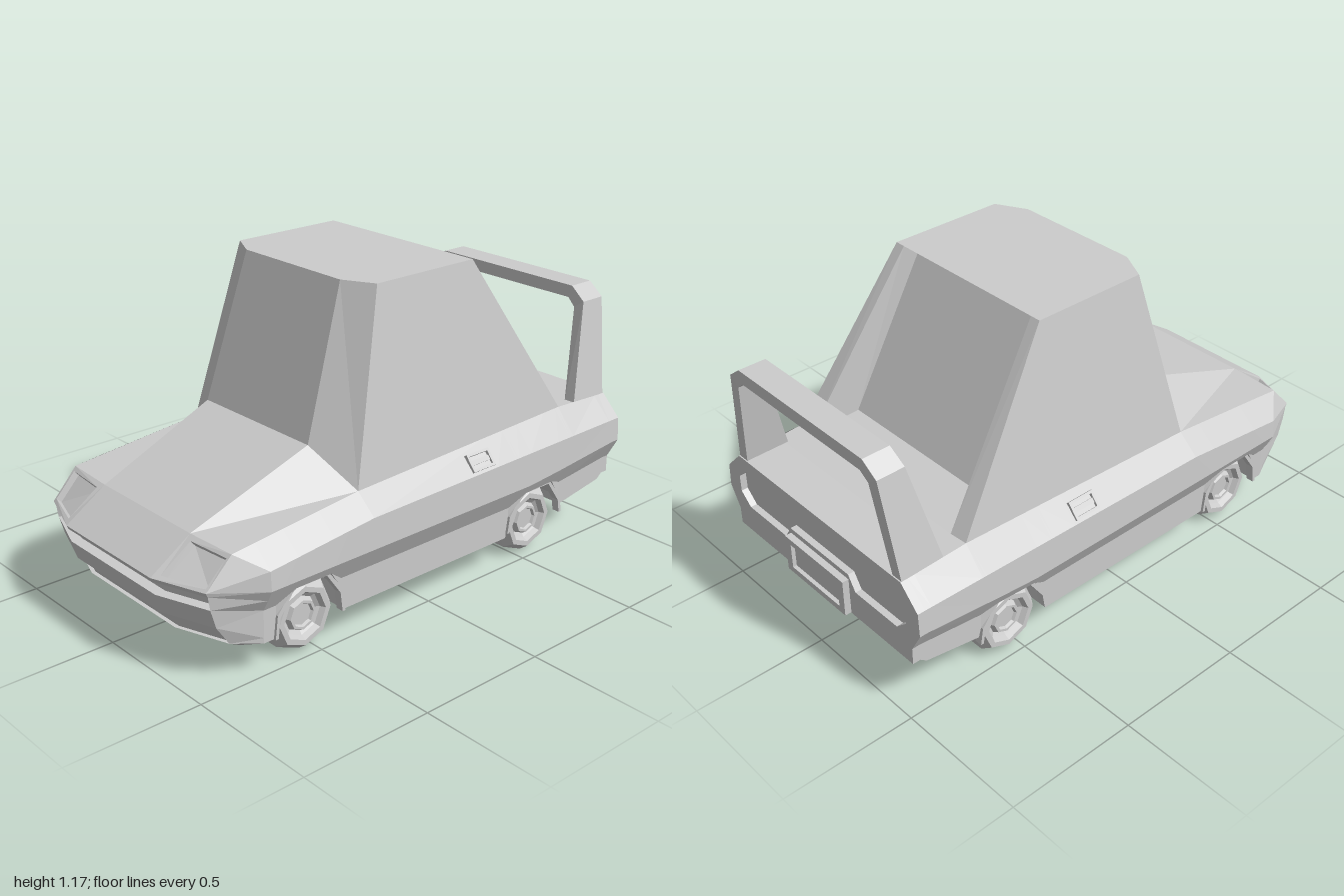
import * as THREE from 'three';

const grey = new THREE.MeshStandardMaterial({ color: 0xcccccc, flatShading: true, side: THREE.DoubleSide });

function mesh(name, geometry, parent) {
  const m = new THREE.Mesh(geometry, grey);
  m.name = name;
  parent.add(m);
  return m;
}

// Polygons given for the +x half, fanned into triangles and mirrored to -x
function mirrored(name, polys, parent) {
  const pos = [];
  for (const p of polys) {
    for (let i = 1; i < p.length - 1; i++) {
      const tri = [p[0], p[i], p[i + 1]];
      for (const v of tri) pos.push(...v);
      for (const v of tri.reverse()) pos.push(-v[0], v[1], v[2]);
    }
  }
  const g = new THREE.BufferGeometry();
  g.setAttribute('position', new THREE.Float32BufferAttribute(pos, 3));
  g.computeVertexNormals();
  return mesh(name, g, parent);
}

// Quads between neighbouring rows of points
function loft(rows) {
  const out = [];
  for (let i = 0; i < rows.length - 1; i++)
    for (let j = 0; j < rows[i].length - 1; j++)
      out.push([rows[i][j], rows[i][j + 1], rows[i + 1][j + 1], rows[i + 1][j]]);
  return out;
}

const toV2 = pts => pts.map(p => new THREE.Vector2(...p));

// Extruded plate with an optional hole
function plate(outer, hole, depth) {
  const s = new THREE.Shape(toV2(outer));
  if (hole) s.holes.push(new THREE.Path(toV2(hole)));
  return new THREE.ExtrudeGeometry(s, { depth, bevelEnabled: false });
}
const rect = (w, y0, y1) => [[-w, y0], [w, y0], [w, y1], [-w, y1]];
const bothSides = half => [...half, ...half.map(([x, y]) => [-x, y]).reverse()];

// Interpolate a table of [z, y] with falling z
function at(table, z) {
  for (let i = 1; i < table.length; i++) {
    const [a, b] = [table[i - 1], table[i]];
    if (z >= b[0]) return THREE.MathUtils.lerp(a[1], b[1], (z - a[0]) / (b[0] - a[0]));
  }
  return table.at(-1)[1];
}

const FLOOR = [[0.74, 0.115], [-0.5, 0.115], [-0.68, 0.16], [-0.92, 0.2], [-0.945, 0.22]];
const SILL = [[0.74, 0.235], [-0.5, 0.235], [-0.945, 0.285]];
const WAIST = [[0.74, 0.32], [-0.5, 0.32], [-0.945, 0.365]];
const SHOULDER = [[0.74, 0.39], [0.3, 0.435], [-0.945, 0.455]];
const BELT = [[0.74, 0.46], [0.3, 0.505], [-0.71, 0.545], [-0.945, 0.535]];
const ARCH = [[0.15, 0], [0.14, 0.2], [0.075, 0.285], [-0.075, 0.285], [-0.14, 0.2], [-0.15, 0]];
const AXLES = [0.55, -0.55];

// Half cross-section of the lower body, with the wheel well cut up to archY
function section(z, archY = 0) {
  const f = at(FLOOR, z), b = at(SILL, z), c = at(WAIST, z);
  const a = Math.max(f, archY), s = Math.max(a, b);
  const x = 0.495 + 0.045 * (s - b) / (c - b);
  return [[0, f, z], [0.38, f, z], [0.38, a, z], [x, a, z], [x, s, z], [0.54, c, z],
    [0.535, at(SHOULDER, z), z], [0.455, at(BELT, z), z]];
}

function addBody(car) {
  const rings = [section(0.74)];
  for (const axle of AXLES) {
    rings.push(section(axle + 0.15));
    for (const [dz, y] of ARCH) rings.push(section(axle + dz, y));
    if (axle > 0) rings.push(section(0.3), section(-0.3));
  }
  for (const z of [-0.71, -0.92, -0.945]) rings.push(section(z));
  mirrored('lowerBody', loft(rings), car);

  // Nose with two recessed grille slots: y, front z, slot depth, side x, side y
  const levels = [
    [0.345, 1.0, 0, 0.535, 0.39], [0.33, 0.993, 0, 0.54, 0.32], [0.33, 0.993, 0.04, 0.54, 0.32],
    [0.28, 0.985, 0.04, 0.52, 0.28], [0.28, 0.985, 0, 0.52, 0.28], [0.21, 0.965, 0, 0.495, 0.235],
    [0.21, 0.965, 0.035, 0.495, 0.21], [0.135, 0.915, 0.015, 0.495, 0.135],
    [0.135, 0.915, 0, 0.495, 0.135], [0.115, 0.875, 0, 0.495, 0.115]];
  const rows = levels.map(([y, z, d, sx, sy]) => [[0, y, z - d], [0.25, y, z - d],
    [0.43, y, z - 0.063 - d], [0.45, y, z - 0.07], [sx, sy, 0.74]]);
  mirrored('nose', [...loft(rows), [...rows.at(-1), [0, 0.115, 0.74]]], car);

  // Bonnet and front wings
  const E = [0.455, 0.505, 0.3], H = [0.28, 0.635, 0.37];
  const P = [0.25, 0.45, 0.84], Q = [0.455, 0.45, 0.83], R = [0.45, 0.345, 0.93], S = [0.25, 0.345, 1];
  const D = [0.535, 0.39, 0.74], B = [0.455, 0.46, 0.74];
  mirrored('bonnet', [
    [[0, 0.635, 0.37], [0, 0.45, 0.84], P, H], [E, H, P], [E, P, Q],
    [B, Q, D], [D, Q, R], [[0, 0.45, 0.84], [0, 0.345, 1], S, P]], car);

  // Headlights sunk into the sloping front
  const spot = (u, v, d) => [0, 1, 2].map(k => {
    const top = P[k] + (Q[k] - P[k]) * u, low = S[k] + (R[k] - S[k]) * u;
    return top + (low - top) * v - (k ? d : 0);
  });
  const loop = (u0, u1, v0, v1, d) =>
    [[u0, v0], [u0, v1], [u1, v1], [u1, v0], [u0, v0]].map(([u, v]) => spot(u, v, d));
  const lens = loop(0.14, 0.94, 0.14, 0.9, 0.018);
  mirrored('headlights', [...loft([loop(0, 1, 0, 1, 0), loop(0.12, 0.95, 0.12, 0.9, 0), lens]),
    lens.slice(0, 4)], car);
}

function addCabin(car) {
  const F = [0.25, 1.17, 0.2], K = [0.365, 1.17, 0.14], T = [0.365, 1.17, -0.31];
  const H = [0.28, 0.635, 0.37], E = [0.455, 0.505, 0.3], L = [0.455, 0.545, -0.71];
  mirrored('cabin', [
    [[0, 1.17, 0.2], F, K, T, [0, 1.17, -0.31]],
    [[0, 1.17, 0.2], [0, 0.635, 0.37], H, F], [F, H, E, K], [K, E, L, T]], car);

  // Rear window sunk between the pillars, running down to the parcel shelf
  const back = [[0.325, 1.17, -0.31], [0.328, 1.12, -0.25], [0.357, 0.575, -0.53], [0.385, 0.545, -0.715]];
  mirrored('rearWindow', loft([back, back.map(([, y, z]) => [0, y, z])]), car);
  mirrored('rearPillars', [back, [T, back[0], back[3], L]], car);
  mirrored('rearDeck', loft([[L, [0.455, 0.537, -0.81], [0.455, 0.535, -0.945]],
    [[0, 0.545, -0.71], [0, 0.537, -0.81], [0, 0.535, -0.945]]]), car);
}

function addRear(car) {
  const outline = bothSides([[0.495, 0.22], [0.495, 0.285], [0.54, 0.365], [0.535, 0.455], [0.455, 0.535]]);
  const recess = bothSides([[0.165, 0.385], [0.2, 0.33], [0.42, 0.33], [0.47, 0.375], [0.47, 0.44], [0.41, 0.49]]);
  mesh('rearFrame', plate(outline, recess, 0.03), car).position.z = -0.975;
  mesh('rearPanel', plate(outline, null, 0.005), car).position.z = -0.95;

  // Number plate housing
  mesh('plateFrame', plate(rect(0.165, 0.222, 0.365), rect(0.135, 0.245, 0.342), 0.03), car).position.z = -1;
  mesh('plateBack', plate(rect(0.14, 0.24, 0.345), null, 0.01), car).position.z = -0.985;

  // Hoop wing: outer x, y, inner x, y, front z, back z
  const stations = [[0.455, 0.53, 0.41, 0.53, -0.8, -0.97], [0.398, 0.905, 0.355, 0.875, -0.89, -0.997],
    [0.335, 0.953, 0.32, 0.905, -0.895, -1], [0, 0.953, 0, 0.905, -0.895, -1]];
  mirrored('hoopWing', loft(stations.map(([ox, oy, ix, iy, f, b]) =>
    [[ox, oy, f], [ox, oy, b], [ix, iy, b], [ix, iy, f], [ox, oy, f]])), car);
}

function addWheels(car) {
  const profile = [[0, 0.28], [0.1, 0.28], [0.135, 0.31], [0.135, 0.44], [0.11, 0.475], [0.09, 0.475],
    [0.08, 0.455], [0.065, 0.445], [0.055, 0.465], [0.045, 0.465], [0.04, 0.455], [0, 0.455]];
  const tyre = new THREE.LatheGeometry(toV2(profile), 8);
  for (const side of [1, -1]) for (const axle of AXLES) {
    const wheel = mesh(axle > 0 ? 'frontWheel' : 'rearWheel', tyre, car);
    wheel.rotation.z = -side * Math.PI / 2;
    wheel.position.set(0, 0.135, axle);

    // Arch lip around the wheel
    const outer = ARCH.map(([z, y]) => [z, Math.max(y, axle < 0 ? 0.135 : 0.115)]);
    const inner = outer.map(([z, y]) => [z * 0.92, y > 0.15 ? y - 0.012 : y]).reverse();
    const lip = mesh('wheelArch', plate([...outer, ...inner], null, 0.03), car);
    lip.rotation.y = -Math.PI / 2;
    lip.position.set(side > 0 ? 0.505 : -0.475, 0, axle);
  }
}

function addHandles(car) {
  for (const side of [1, -1]) {
    const handle = new THREE.Group();
    handle.name = 'doorHandle';
    const rim = mesh('handleRim', plate(rect(0.055, -0.034, 0.034), rect(0.045, -0.024, 0.024), 0.02), handle);
    rim.rotation.y = Math.PI / 2;
    rim.position.x = -0.008;
    mesh('handleBar', new THREE.BoxGeometry(0.014, 0.018, 0.1), handle);
    handle.rotation.z = side > 0 ? 0.69 : Math.PI - 0.69;
    handle.position.set(side * 0.502, 0.476, -0.235);
    car.add(handle);
  }
}

export function createModel() {
  const car = new THREE.Group();
  car.name = 'car';
  addBody(car);
  addCabin(car);
  addRear(car);
  addWheels(car);
  addHandles(car);
  return car;
}
